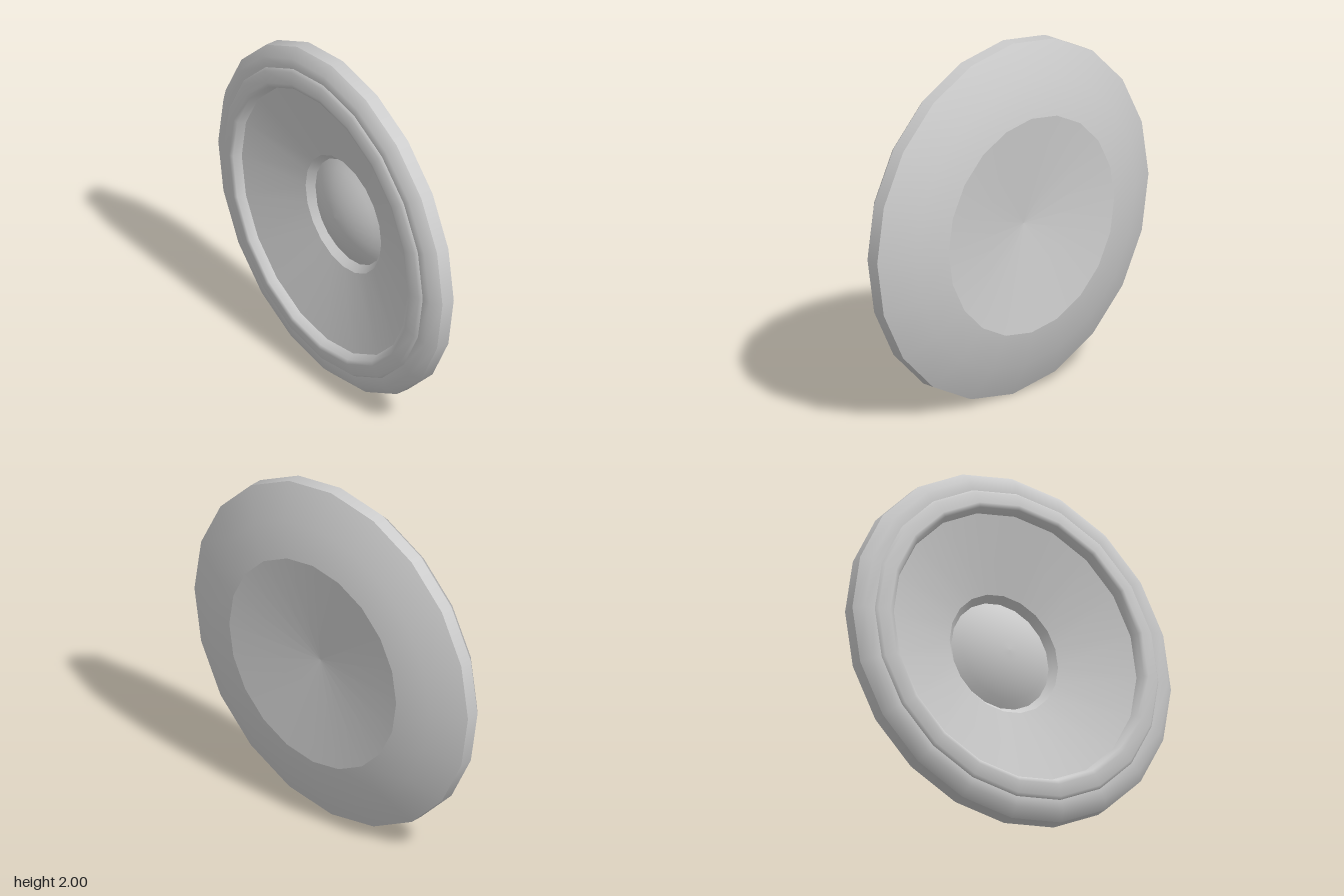
import * as THREE from 'three';

const SIDES = 20;

// Revolve a [radius, z] profile about the z axis; run it from back centre, round the rim, to front centre
function ring(name, profile, material) {
  const points = profile.map(([r, z]) => new THREE.Vector2(r, z));
  const geometry = new THREE.LatheGeometry(points, SIDES);
  geometry.rotateX(Math.PI / 2);
  const mesh = new THREE.Mesh(geometry, material);
  mesh.name = name;
  mesh.position.y = 1;
  return mesh;
}

export function createModel() {
  const group = new THREE.Group();
  group.name = 'speakerDriver';
  const grey = new THREE.MeshStandardMaterial({ color: 0xcccccc });

  // Domed cap in the middle of the cone, as a shallow spherical arc
  const domeRadius = 0.305, domeBase = -0.05, domeHeight = 0.1;
  const sphere = (domeRadius ** 2 + domeHeight ** 2) / (2 * domeHeight);
  const sweep = Math.asin(domeRadius / sphere);
  const dome = [];
  for (let i = 0; i <= 6; i++) {
    const a = sweep * (1 - i / 6);
    dome.push([sphere * Math.sin(a), domeBase + domeHeight - sphere * (1 - Math.cos(a))]);
  }

  // Each part is its own smooth band, so the joins between them stay sharp
  const parts = {
    backDish: [[0, -0.09], [0.61, -0.15]],
    backShell: [[0.61, -0.15], [0.81, -0.105], [1, -0.005]],
    rimSide: [[1, -0.005], [1, 0.07]],
    frontRim: [[1, 0.07], [0.95, 0.12], [0.89, 0.12]],
    surround: [[0.89, 0.12], [0.875, 0.137], [0.81, 0.15], [0.785, 0.143], [0.765, 0.1]],
    cone: [[0.765, 0.1], [0.34, -0.01]],
    coneThroat: [[0.34, -0.01], [domeRadius, domeBase]],
    dustCap: dome,
  };
  for (const [name, profile] of Object.entries(parts)) group.add(ring(name, profile, grey));
  return group;
}
